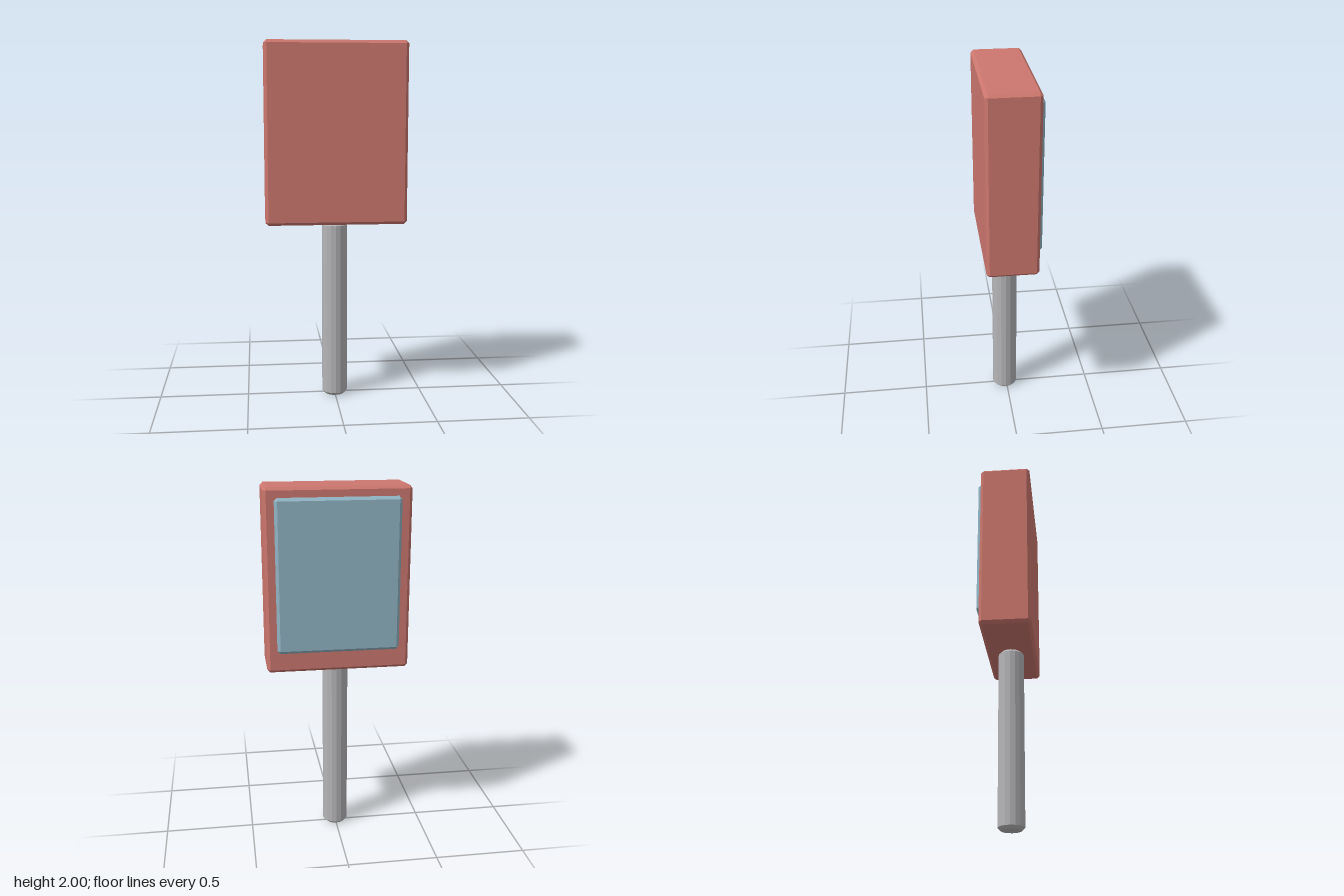
import * as THREE from 'three';
import { ConvexGeometry } from 'three/addons/geometries/ConvexGeometry.js';

const BEVEL = 0.016;

// Box with every edge cut at 45 degrees: three corner points per box corner
function chamferedBox(w, h, d, c) {
  const points = [];
  for (const sx of [-1, 1]) for (const sy of [-1, 1]) for (const sz of [-1, 1]) {
    const x = w / 2, y = h / 2, z = d / 2;
    points.push(
      new THREE.Vector3(sx * x, sy * (y - c), sz * (z - c)),
      new THREE.Vector3(sx * (x - c), sy * y, sz * (z - c)),
      new THREE.Vector3(sx * (x - c), sy * (y - c), sz * z)
    );
  }
  return new ConvexGeometry(points);
}

function addPart(group, name, geometry, color, x, y, z) {
  const material = new THREE.MeshStandardMaterial({ color, flatShading: true });
  const mesh = new THREE.Mesh(geometry, material);
  mesh.name = name;
  mesh.position.set(x, y, z);
  group.add(mesh);
}

export function createModel() {
  const group = new THREE.Group();
  group.name = 'signOnPost';

  // Thick red casing
  addPart(group, 'casing', chamferedBox(0.78, 0.995, 0.28, BEVEL), 0xcc776e, 0, 1.5025, 0.01);

  // Blue panel, half sunk into the back of the casing
  addPart(group, 'backPanel', chamferedBox(0.668, 0.832, 0.034, BEVEL), 0x91b5c4, 0, 1.531, -0.133);

  // Round post with chamfered ends
  const r = 0.072, top = 1.005;
  const profile = [
    [0, 0], [r - BEVEL, 0], [r, BEVEL], [r, top - BEVEL], [r - BEVEL, top], [0, top]
  ].map(([x, y]) => new THREE.Vector2(x, y));
  addPart(group, 'post', new THREE.LatheGeometry(profile, 16), 0xb5b5b8, 0, 0, 0.01);

  return group;
}
